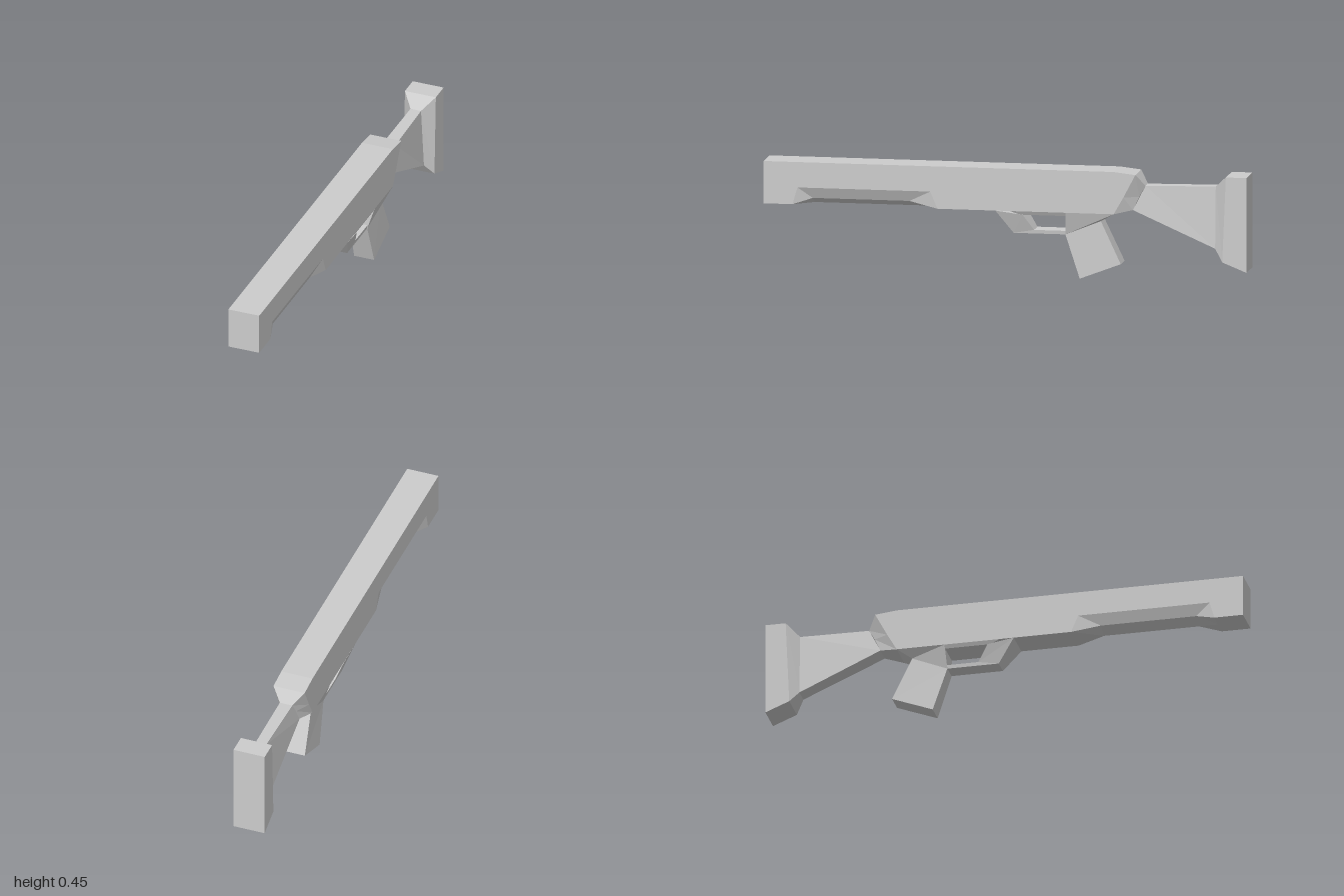
import * as THREE from 'three';

const material = new THREE.MeshStandardMaterial({ color: 0xcccccc, flatShading: true });

// Skins a run of cross-sections. Each section lists the +x half as [x, y, z]
// and is mirrored to close the ring; both ends are capped.
function loft(name, halves) {
  const rings = halves.map(h => [...h, ...h.map(([x, y, z]) => [-x, y, z]).reverse()]);
  const n = rings[0].length, last = (rings.length - 1) * n, index = [];
  for (let i = 0; i < last; i += n) {
    for (let k = 0; k < n; k++) {
      const a = i + k, b = i + (k + 1) % n;
      index.push(a, a + n, b, b, a + n, b + n);
    }
  }
  for (let k = 1; k < n - 1; k++) {
    index.push(0, k, k + 1, last, last + k + 1, last + k);
  }
  const geometry = new THREE.BufferGeometry();
  geometry.setAttribute('position', new THREE.Float32BufferAttribute(rings.flat(2), 3));
  geometry.setIndex(index);
  const flat = geometry.toNonIndexed();
  flat.computeVertexNormals();
  const mesh = new THREE.Mesh(flat, material);
  mesh.name = name;
  return mesh;
}

export function createModel() {
  const group = new THREE.Group();
  const W = 0.068, B = 0.28, T = 0.455, M = 0.35;

  // Body section: keel, lower corner, side line, top corner
  const block = (z, zSide = z) => [[0, B, z], [W, B, z], [W, M, zSide], [W, T, zSide]];
  const carved = (z, zSide) => [[0, B, z], [0.047, 0.305, z], [W, M, zSide], [W, T, zSide]];

  group.add(loft('body', [
    block(1),
    block(0.88, 0.86),
    carved(0.8, 0.86), // hand hold cut into both lower edges
    carved(0.4, 0.31),
    block(0.28, 0.31),
    block(-0.45),
    [[0, B, -0.45], [W, B, -0.45], [W, M, -0.49], [W, 0.445, -0.54]],
    [[0, 0.295, -0.525], [0.04, 0.295, -0.525], [0.034, M, -0.55], [0.027, 0.395, -0.575]],
  ]));

  // Stock arm, flaring out to the butt
  group.add(loft('stock', [
    [[0.04, 0.295, -0.525], [0.027, 0.395, -0.575]],
    [[0.036, 0.145, -0.865], [0.023, 0.4, -0.865]],
    [[W, 0.095, -0.9], [W, 0.447, -0.915]],
    [[W, 0.055, -1], [W, 0.447, -1]],
  ]));

  // Grip with the neck that joins it to the body
  group.add(loft('grip', [
    [[W, B, -0.25], [W, B, -0.45]],
    [[0.038, 0.185, -0.245], [0.04, 0.245, -0.392]],
    [[0.044, 0.005, -0.305], [0.044, 0.07, -0.475]],
  ]));

  // Guard loop in front of the grip: outer and inner edge along its path
  group.add(loft('guard', [
    [[W, B, 0.04], [0.062, 0.265, -0.072]],
    [[0.037, 0.185, -0.03], [0.039, 0.2, -0.115]],
    [[0.037, 0.185, -0.246], [0.039, 0.2, -0.246]],
  ]));

  // Plate closing the top of the guard opening
  group.add(loft('guardPlate', [
    [[0.06, 0.265, -0.06], [W, B, -0.02]],
    [[0.06, 0.265, -0.26], [W, B, -0.26]],
  ]));

  return group;
}
